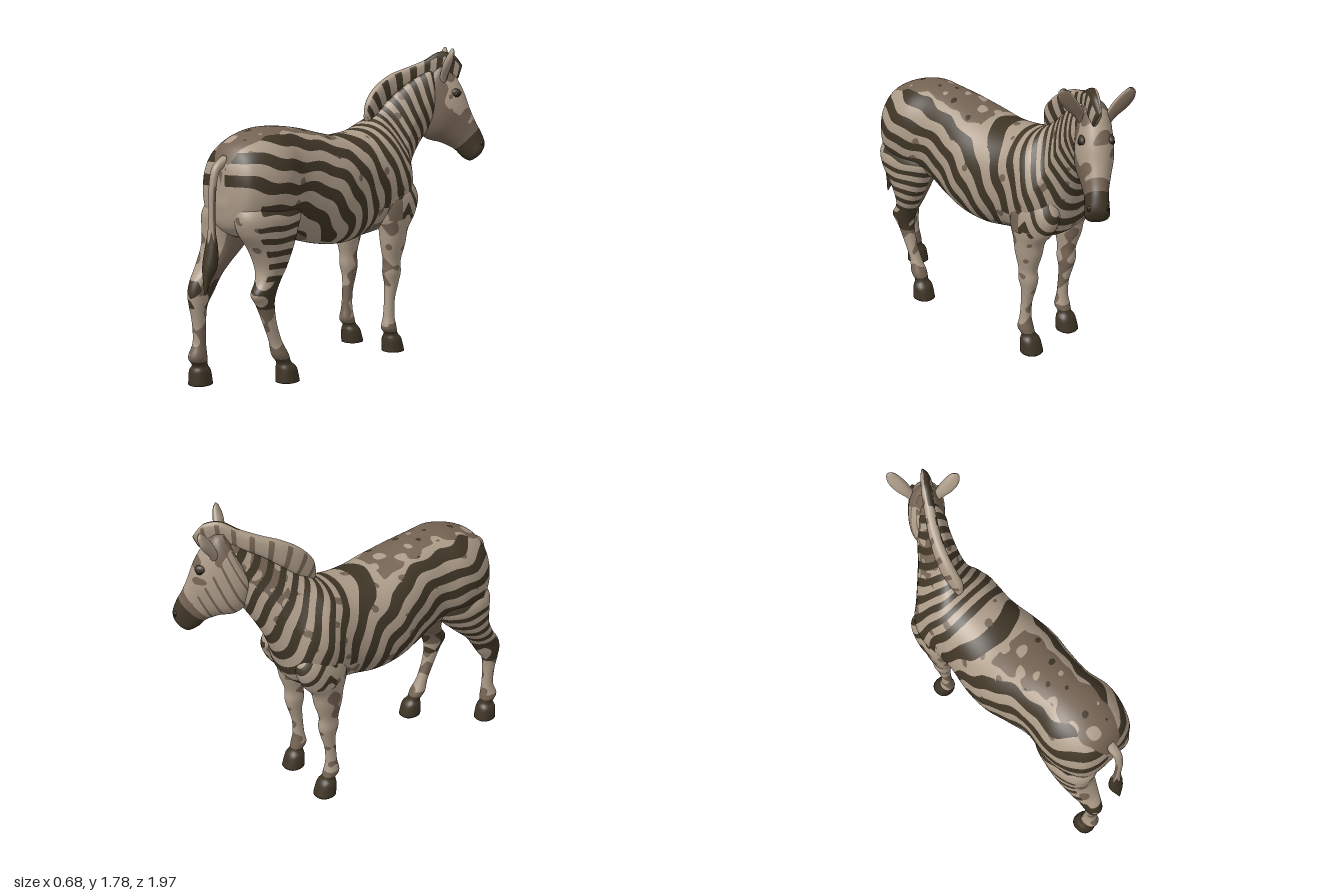
import * as THREE from 'three';

const mat = (name, color) => Object.assign(new THREE.MeshStandardMaterial({ color }), { name });
const LIGHT = 0, DARK = 1, MID = 2;

// Cubic interpolation through a list of stations
function sample(st, u) {
  const i = Math.min(Math.floor(u), st.length - 2), t = u - i;
  const get = (k) => st[Math.max(0, Math.min(st.length - 1, k))];
  const [a, b, c, d] = [get(i - 1), get(i), get(i + 1), get(i + 2)];
  return b.map((v, k) => v + 0.5 * t * (c[k] - a[k] + t * (2 * a[k] - 5 * v + 4 * c[k] - d[k] + t * (3 * (v - c[k]) + d[k] - a[k]))));
}

// Skin through oval sections [zTop, yTop, zBottom, yBottom, x, halfWidth, yaw, topTaper];
// paint(p, u, angle) gives the colour, and faces are cut along colour borders.
function loft(name, stations, rows, n, mats, paint, power = 0.9) {
  const st = stations.map((s) => [...s, 0, 0].slice(0, 8)), top = st.length - 1;
  const pos = [], index = [], faces = [], lists = mats.map(() => []);
  const pw = (v) => Math.sign(v) * Math.abs(v) ** power;
  for (let i = 0; i <= rows; i++) {
    const [zt, yt, zb, yb, cx, hw, yaw, taper] = sample(st, (i / rows) * top);
    for (let j = 0; j < n; j++) {
      const a = (j / n) * Math.PI * 2, s = pw(Math.sin(a)) / 2, c = pw(Math.cos(a)) * hw * (1 - taper * Math.max(0, 2 * s));
      pos.push(cx + c * Math.cos(yaw), (yt + yb) / 2 + s * (yt - yb), (zt + zb) / 2 + s * (zt - zb) + c * Math.sin(yaw));
    }
  }
  for (const k of [0, top]) pos.push(st[k][4], (st[k][1] + st[k][3]) / 2, (st[k][0] + st[k][2]) / 2);
  const vert = (i, j) => ({ k: i < 0 ? (rows + 1) * n : i > rows ? (rows + 1) * n + 1 : i * n + (j % n), u: (Math.max(0, Math.min(rows, i)) / rows) * top, a: (j / n) * Math.PI * 2 });
  const face = (...t) => { faces.push(t); index.push(...t.map((v) => v.k)); };
  for (let j = 0; j < n; j++) {
    face(vert(-1, j), vert(0, j), vert(0, j + 1));
    face(vert(rows + 1, j), vert(rows, j + 1), vert(rows, j));
    for (let i = 0; i < rows; i++) {
      face(vert(i, j), vert(i + 1, j), vert(i, j + 1));
      face(vert(i + 1, j), vert(i + 1, j + 1), vert(i, j + 1));
    }
  }
  const smooth = new THREE.BufferGeometry();
  smooth.setAttribute('position', new THREE.Float32BufferAttribute(pos, 3));
  smooth.setIndex(index);
  smooth.computeVertexNormals();
  const { position, normal } = smooth.attributes;
  const colour = (v) => Object.assign(v, { m: paint(v.p, v.u, v.a) });
  const mix = (A, B, t) => colour({ p: A.p.clone().lerp(B.p, t), n: A.n.clone().lerp(B.n, t).normalize(), u: A.u + (B.u - A.u) * t, a: A.a + (B.a - A.a) * t });
  const cut = (A, B) => {
    let lo = 0, hi = 1;
    for (let k = 0; k < 6; k++) { const t = (lo + hi) / 2; if (mix(A, B, t).m === A.m) lo = t; else hi = t; }
    return mix(A, B, (lo + hi) / 2);
  };
  for (const t of faces) {
    let [A, B, C] = t.map((v) => colour({ ...v, p: new THREE.Vector3().fromBufferAttribute(position, v.k), n: new THREE.Vector3().fromBufferAttribute(normal, v.k) }));
    if (A.m === B.m && B.m === C.m) { lists[A.m].push(A, B, C); continue; }
    if (A.m === B.m) [A, B, C] = [C, A, B];
    else if (A.m === C.m) [A, B, C] = [B, C, A];
    const P = cut(A, B), Q = cut(A, C);
    lists[A.m].push(A, P, Q);
    lists[B.m].push(P, B, C);
    lists[C.m].push(P, C, Q);
  }
  const g = new THREE.BufferGeometry(), all = lists.flat();
  g.setAttribute('position', new THREE.Float32BufferAttribute(all.flatMap((v) => v.p.toArray()), 3));
  g.setAttribute('normal', new THREE.Float32BufferAttribute(all.flatMap((v) => v.n.toArray()), 3));
  let start = 0;
  lists.forEach((l, m) => { if (l.length) g.addGroup(start, l.length, m); start += l.length; });
  return Object.assign(new THREE.Mesh(g, mats), { name });
}

const blotch = (p) => Math.sin(31 * p.x + 9 * p.z + 1) * Math.sin(37 * p.z + 11 * p.y) + 0.5 * Math.sin(53 * p.y + 23 * p.x + 2);
const warp = (p) => 0.09 * Math.sin(13 * p.y + 9 * p.z + 4 * p.x) + 0.06 * Math.sin(29 * p.z + 17 * p.y);
const stripe = (cycles, duty = 0) => (Math.cos(cycles * Math.PI * 2) > duty ? DARK : LIGHT);

// Flank stripes: nearly level on the rump, sweeping down to upright at the ribs
function flank(p) {
  const z = Math.max(p.z, -0.2), y = p.y - 0.62, front = Math.max(0, 0.1 - z);
  const r = z > 0.5 ? y - 0.15 * (z - 0.5) : Math.hypot(0.5 - z + 0.3 * front, y * (1 - front));
  return (r - 0.448) / 0.123 + warp(p);
}

export function createModel() {
  const model = new THREE.Group();
  model.name = 'zebra';
  const coat = [mat('pale coat', 0xab9a87), mat('dark stripe', 0x3f3526), mat('brown shade', 0x746353)];
  const black = mat('eye black', 0x1e1913);

  // Trunk and neck
  const trunk = [
    [0.86, 1.17, 0.86, 1.03, -0.05, 0.03], [0.85, 1.22, 0.86, 0.97, -0.05, 0.11],
    [0.8, 1.3, 0.83, 0.86, -0.05, 0.19], [0.7, 1.355, 0.72, 0.8, -0.05, 0.24],
    [0.58, 1.385, 0.6, 0.8, -0.05, 0.255], [0.45, 1.385, 0.45, 0.8, -0.05, 0.23],
    [0.3, 1.365, 0.3, 0.735, -0.05, 0.25], [0.15, 1.33, 0.15, 0.695, -0.05, 0.28],
    [0, 1.305, 0, 0.68, -0.05, 0.275], [-0.15, 1.315, -0.15, 0.7, -0.05, 0.25],
    [-0.25, 1.335, -0.3, 0.715, -0.05, 0.252], [-0.31, 1.365, -0.42, 0.74, -0.05, 0.26, 0, 0.15],
    [-0.36, 1.4, -0.52, 0.82, -0.045, 0.232, 0.05, 0.4], [-0.41, 1.44, -0.56, 0.95, -0.03, 0.172, 0.15, 0.5],
    [-0.47, 1.5, -0.6, 1.08, 0, 0.13, 0.3, 0.5], [-0.54, 1.56, -0.64, 1.18, 0.035, 0.105, 0.45, 0.4],
    [-0.62, 1.615, -0.68, 1.26, 0.07, 0.09, 0.6, 0.3], [-0.7, 1.655, -0.72, 1.32, 0.105, 0.085, 0.75, 0.2],
    [-0.74, 1.6, -0.76, 1.42, 0.12, 0.05, 0.78],
  ];
  model.add(loft('trunkAndNeck', trunk, 180, 100, coat, (p, u, a) => {
    const s = Math.sin(a), b = blotch(p);
    if (s > 0.9 + 0.03 * b && p.z > 0.07) return b > 0.65 ? LIGHT : b < -1.15 ? DARK : MID;
    if (p.z > 0.77 && (Math.abs(p.x + 0.05) < 0.03 || p.y < 1.06)) return LIGHT;
    if (s < -0.93 && u < 10.5) return u < 6 ? MID : LIGHT;
    if (u > 9 && u < 10.7 && p.y < 0.88) return b > -0.2 ? MID : LIGHT;
    if (stripe(flank(p) + Math.max(0, u - 9.4) * 1.02, 0.02) === DARK) return DARK;
    return b > 1.1 || (u > 13.5 && Math.cos(a) < 0.1 && s > 0.1 && b > -0.4) ? MID : LIGHT;
  }));

  // Mane: a standing crest along the neck, pale on top
  const mane = [
    [-0.29, 1.4, -0.32, 1.33, -0.055, 0.015, 0], [-0.305, 1.48, -0.38, 1.38, -0.05, 0.028, 0.1],
    [-0.38, 1.565, -0.44, 1.44, -0.045, 0.032, 0.2], [-0.48, 1.63, -0.51, 1.5, -0.02, 0.032, 0.35],
    [-0.58, 1.67, -0.59, 1.56, 0.025, 0.031, 0.5], [-0.67, 1.71, -0.67, 1.6, 0.08, 0.03, 0.65],
    [-0.75, 1.76, -0.73, 1.62, 0.13, 0.029, 0.78], [-0.82, 1.745, -0.79, 1.62, 0.185, 0.026, 0.8],
    [-0.87, 1.68, -0.83, 1.6, 0.215, 0.012, 0.8],
  ];
  model.add(loft('mane', mane, 80, 28, coat, (p, u, a) => {
    const c = Math.cos(a), s = Math.sin(a);
    if (u > 5 && c > -0.1 && s > 0.5) return DARK;
    if (s > 0.85) return LIGHT;
    if (c < 0) return stripe(u * 1.1 + 0.2, 0.6) === DARK ? MID : LIGHT;
    return stripe(u * 1.1 + 0.3, 0.1);
  }, 0.75));

  // Head, turned towards the left
  const head = new THREE.Group();
  head.name = 'head';
  head.position.set(0.1, 0, -0.74);
  head.rotation.y = -Math.PI / 4;
  const skull = [
    [-0.01, 1.7, 0.1, 1.5, 0, 0.04], [-0.06, 1.695, 0.13, 1.41, 0, 0.08],
    [-0.12, 1.635, 0.1, 1.3, 0, 0.096], [-0.18, 1.53, 0.04, 1.24, 0, 0.1],
    [-0.222, 1.42, -0.05, 1.215, 0, 0.08], [-0.26, 1.335, -0.13, 1.175, 0, 0.063],
    [-0.293, 1.275, -0.175, 1.13, 0, 0.062], [-0.315, 1.21, -0.22, 1.105, 0, 0.062],
    [-0.3, 1.16, -0.25, 1.115, 0, 0.035],
  ];
  head.add(loft('skullAndMuzzle', skull, 80, 60, coat, (p, u, a) => {
    const s = Math.sin(a), b = blotch(p);
    if (u > 5.25 + 0.2 * s) return DARK;
    if (p.x > 0.01 && s < 0.35 + 0.2 * Math.sin(25 * p.y)) return MID;
    if (u > 4.6) return MID;
    if (s < 0.25) return Math.cos(u * 8 + 4 * s) > 0.8 ? MID : LIGHT;
    return b > 0.45 || u < 1.4 ? MID : LIGHT;
  }));
  for (const side of [-1, 1]) {
    // Ear: pale back, shaded hollow with a dark tip
    const ear = [
      [-0.093, 1.785, -0.085, 1.785, 0.168, 0.008], [-0.102, 1.765, -0.072, 1.765, 0.165, 0.028],
      [-0.1, 1.72, -0.05, 1.72, 0.145, 0.044], [-0.09, 1.67, -0.035, 1.67, 0.115, 0.043],
      [-0.075, 1.62, -0.03, 1.62, 0.08, 0.03], [-0.07, 1.58, -0.03, 1.58, 0.06, 0.02],
    ].map((s) => s.map((v, k) => (k === 4 ? v * side : v)));
    head.add(loft('ear', ear, 28, 28, coat, (p, u, a) =>
      Math.sin(a) < 0.3 ? LIGHT : u < 0.6 ? DARK : Math.sin(a) > 0.5 ? MID : LIGHT));
    const ball = (name, r, x, y, z, sx, sy, sz, m) => {
      const o = new THREE.Mesh(new THREE.SphereGeometry(r, 20, 14), m);
      o.name = name;
      o.position.set(x * side, y, z);
      o.scale.set(sx, sy, sz);
      head.add(o);
    };
    ball('brow', 0.034, 0.072, 1.52, -0.125, 0.6, 0.7, 1, coat[DARK]);
    ball('eye', 0.016, 0.084, 1.508, -0.13, 0.6, 0.9, 1.1, black);
    ball('nostril', 0.016, 0.044, 1.21, -0.29, 0.8, 1.3, 0.8, black);
  }
  model.add(head);

  // Forelegs, mirrored about the trunk's middle
  const fore = [
    [-0.44, 1.1, -0.3, 1.1, 0.12, 0.03], [-0.5, 1.01, -0.26, 1.01, 0.155, 0.07],
    [-0.535, 0.92, -0.225, 0.92, 0.172, 0.085], [-0.5, 0.82, -0.225, 0.82, 0.175, 0.085],
    [-0.44, 0.74, -0.245, 0.74, 0.175, 0.073], [-0.42, 0.65, -0.255, 0.65, 0.175, 0.062],
    [-0.39, 0.55, -0.275, 0.55, 0.172, 0.046], [-0.393, 0.48, -0.275, 0.48, 0.17, 0.048],
    [-0.378, 0.41, -0.29, 0.41, 0.168, 0.038], [-0.353, 0.32, -0.288, 0.32, 0.167, 0.03],
    [-0.348, 0.22, -0.28, 0.22, 0.167, 0.032], [-0.362, 0.15, -0.268, 0.15, 0.167, 0.043],
    [-0.375, 0.11, -0.295, 0.11, 0.165, 0.039], [-0.4, 0.075, -0.292, 0.075, 0.163, 0.058],
    [-0.425, 0, -0.295, 0, 0.163, 0.065],
  ];
  // Hind legs [y, zFront, zBack]: the left one forward, the right one stretched back
  const hindX = [0.09, 0.122, 0.13, 0.136, 0.14, 0.142, 0.142, 0.14, 0.139, 0.139, 0.143, 0.147, 0.152, 0.154];
  const hindWidth = [0.05, 0.118, 0.118, 0.104, 0.082, 0.06, 0.052, 0.043, 0.036, 0.034, 0.046, 0.04, 0.057, 0.062];
  const hind = (rows) => rows.map(([y, f, b], i) => [f, y, b, y, hindX[i], hindWidth[i]]);
  const hindLeft = hind([
    [1.08, 0.52, 0.78], [0.95, 0.43, 0.85], [0.85, 0.455, 0.835], [0.75, 0.5, 0.765], [0.65, 0.55, 0.725],
    [0.58, 0.585, 0.735], [0.51, 0.615, 0.772], [0.45, 0.625, 0.735], [0.35, 0.61, 0.688], [0.24, 0.572, 0.642],
    [0.16, 0.53, 0.622], [0.11, 0.51, 0.59], [0.075, 0.48, 0.592], [0, 0.46, 0.595]]);
  const hindRight = hind([
    [1.08, 0.52, 0.78], [0.95, 0.44, 0.85], [0.85, 0.5, 0.85], [0.75, 0.6, 0.85], [0.65, 0.71, 0.895],
    [0.58, 0.76, 0.945], [0.51, 0.805, 0.967], [0.44, 0.855, 0.96], [0.35, 0.868, 0.943], [0.24, 0.87, 0.94],
    [0.16, 0.862, 0.968], [0.11, 0.855, 0.94], [0.075, 0.835, 0.95], [0, 0.82, 0.955]]);

  for (const side of [1, -1]) {
    const place = (list) => list.map((s) => s.map((v, k) => (k === 4 ? v * side - 0.05 : v)));
    model.add(loft('foreleg', place(fore), 90, 40, coat, (p, u, a) => {
      const b = blotch(p), outer = Math.cos(a) * side > -0.2;
      if (p.y < 0.125) return DARK;
      if (p.y > 0.8 && outer) {
        if (p.y < 0.92 && p.z > -0.33) return b > -0.3 ? MID : LIGHT;
        return stripe((Math.abs(p.z + 0.38) + p.y * 0.8) / 0.1 + warp(p), 0.4);
      }
      return b > 0.35 || p.y < 0.16 ? MID : LIGHT;
    }));
    model.add(loft('hindLeg', place(side > 0 ? hindLeft : hindRight), 90, 48, coat, (p, u, a) => {
      const b = blotch(p), outer = Math.cos(a) * side > 0.05, s = Math.sin(a);
      if (p.y < 0.135) return DARK;
      if (p.y > 0.43 && p.y < 0.58 && b > -0.3) return DARK;
      if (outer && p.y > 0.91) return p.z > 0.77 ? LIGHT : stripe(flank(p), 0.02);
      if (outer && p.y > 0.56 && s > -0.75) return stripe((p.y - 0.6) / 0.067 + warp(p), 0.1);
      if (!outer && p.y > 0.5 && s > -0.6) return MID;
      return b > (p.y < 0.43 ? 0.2 : 0.85) || p.y < 0.17 ? MID : LIGHT;
    }));
  }

  // Tail with a dark tuft
  const tail = [
    [0.83, 1.2, 0.835, 1.255, -0.05, 0.03], [0.88, 1.165, 0.91, 1.2, -0.05, 0.024],
    [0.9, 1.08, 0.938, 1.085, -0.05, 0.02], [0.908, 0.95, 0.942, 0.95, -0.05, 0.019],
    [0.908, 0.85, 0.946, 0.85, -0.052, 0.025], [0.9, 0.76, 0.962, 0.76, -0.053, 0.04],
    [0.905, 0.67, 0.978, 0.68, -0.055, 0.04], [0.94, 0.6, 0.985, 0.61, -0.055, 0.02],
    [0.978, 0.53, 0.985, 0.53, -0.05, 0.004],
  ];
  model.add(loft('tail', tail, 60, 24, coat, (p, u, a) =>
    p.y < 0.83 + 0.03 * Math.sin(a * 5) ? DARK : Math.abs(Math.cos(a)) > 0.92 && p.y < 1.1 ? MID : LIGHT));
  return model;
}
